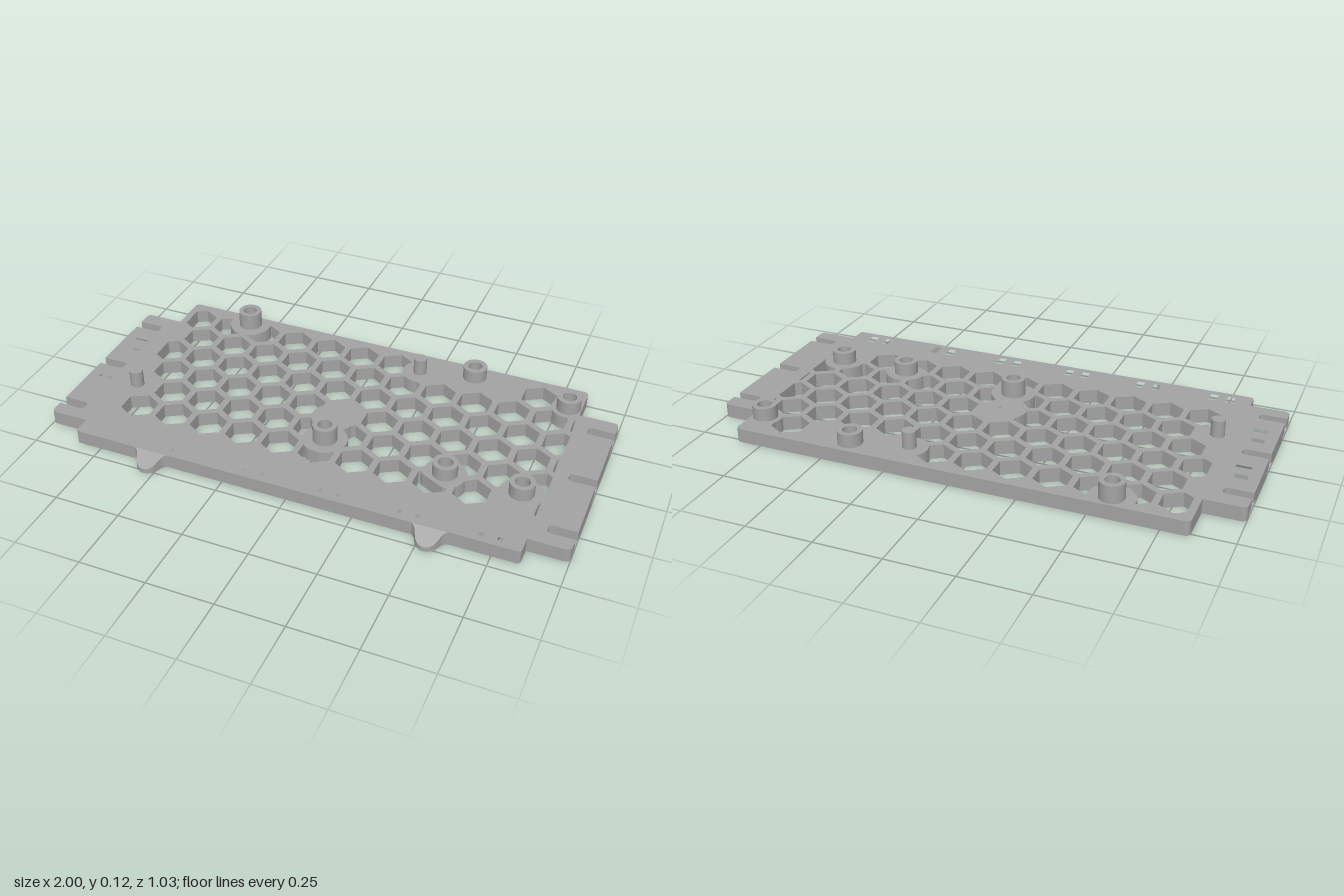
import * as THREE from 'three';

const T = 0.054, LOW = 0.015; // plate thickness, depth of the underside recesses
const grey = new THREE.MeshStandardMaterial({ color: 0xa3a3a3 });
grey.name = 'grey';

// hollow standoffs: x, z, top height, clear pad radius around them
const standoffs = [
  [-0.57, -0.46, 0.12, 0.085], [0.02, 0.14, 0.12, 0.085],
  [0.41, -0.45, 0.105, 0.085], [0.80, -0.39, 0.105, 0.065],
  [0.49, 0.16, 0.105, 0.08], [0.77, 0.16, 0.105, 0.08],
];
const pins = [[0.2, -0.4, 0.12, 0.07], [-0.79, 0.1, 0.12, 0.07]];
const centreHole = [0, 0.005, 0, 0.085];
const pads = [...standoffs, ...pins, centreHole];

// shapes are drawn in x and -z, then laid flat
function extrudeFlat(shape, y0, y1, curveSegments = 8) {
  const g = new THREE.ExtrudeGeometry(shape, { depth: y1 - y0, bevelEnabled: false, curveSegments });
  g.rotateX(-Math.PI / 2);
  g.translate(0, y0, 0);
  return g;
}

// closed path through [x, z, corner radius]
function roundedPath(path, pts) {
  const n = pts.length;
  const toward = (a, b, d) => {
    const l = Math.hypot(b[0] - a[0], b[1] - a[1]);
    return [a[0] + (b[0] - a[0]) * d / l, a[1] + (b[1] - a[1]) * d / l];
  };
  pts.forEach((p, i) => {
    const r = p[2] || 0;
    const a = toward(p, pts[(i + n - 1) % n], r), b = toward(p, pts[(i + 1) % n], r);
    if (i === 0) path.moveTo(a[0], -a[1]);
    else path.lineTo(a[0], -a[1]);
    if (r > 0) path.quadraticCurveTo(p[0], -p[1], b[0], -b[1]);
  });
  path.closePath();
  return path;
}

// plate outline with open slots in both end tabs
function outline(slotHalf, slotInner, slotRadius) {
  const right = [[0.85, -0.515, 0.02], [0.85, -0.36], [1, -0.36, 0.02]];
  for (const z of [-0.277, 0.012, 0.303]) {
    right.push([1, z - slotHalf], [slotInner, z - slotHalf, slotRadius],
      [slotInner, z + slotHalf, slotRadius], [1, z + slotHalf]);
  }
  right.push([1, 0.38, 0.02], [0.85, 0.38], [0.85, 0.45, 0.015]);
  const left = right.map(([x, z, r]) => [-x, z, r]).reverse();
  return roundedPath(new THREE.Shape(), [...right, ...left]);
}

function circleHole(x, z, r) {
  const p = new THREE.Path();
  p.absarc(x, -z, r, 0, Math.PI * 2, true);
  return p;
}

function rectHole(x, z, w, d) {
  return roundedPath(new THREE.Path(), [
    [x - w / 2, z - d / 2], [x + w / 2, z - d / 2], [x + w / 2, z + d / 2], [x - w / 2, z + d / 2]]);
}

// hexagon cut back around the pads and at the field's ends; null if too little remains
function hexHole(cx, cz) {
  const A = 0.061, R = A / Math.cos(Math.PI / 6), SEG = 8;
  const inside = (x, z, e = 0) => {
    const dx = Math.abs(x - cx), dz = Math.abs(z - cz);
    return dx <= A + e && dx * 0.5 + dz * 0.866 <= A + e;
  };
  if (pads.some(([x, z]) => inside(x, z))) return null;
  const corner = i => [cx + R * Math.sin(i * Math.PI / 3), cz + R * Math.cos(i * Math.PI / 3)];
  const pts = [];
  for (let i = 0; i < 6; i++) {
    const a = corner(i), b = corner(i + 1);
    for (let s = 0; s < SEG; s++) {
      let x = a[0] + (b[0] - a[0]) * s / SEG, z = a[1] + (b[1] - a[1]) * s / SEG;
      for (const [px, pz, , pr] of pads) {
        const d = Math.hypot(x - px, z - pz);
        if (d < pr) {
          x = px + (x - px) * pr / d;
          z = pz + (z - pz) * pr / d;
        }
      }
      if (inside(x, z, 1e-4) && x > -0.83 && x < 0.85) pts.push(new THREE.Vector2(x, -z));
    }
  }
  if (pts.length < 4 || Math.abs(THREE.ShapeUtils.area(pts)) < 0.0005) return null;
  return new THREE.Path(pts);
}

function plateHoles() {
  const holes = [];
  // honeycomb field
  for (let row = 0; row < 6; row++) {
    const odd = row % 2 === 1;
    for (let k = 0; k < 12; k++) {
      if (row === 0 && k === 9) continue; // solid beside the rear standoff
      const h = hexHole((odd ? -0.711 : -0.785) + 0.1465 * k, -0.412 + 0.1264 * row);
      if (h) holes.push(h);
    }
  }
  // tie slots along the front edge and on one end
  for (let i = 0; i < 6; i++) {
    for (const dx of [0, 0.066]) holes.push(rectHole(-0.77 + 0.2935 * i + dx, 0.393, 0.028, 0.058));
  }
  for (const z of [-0.167, -0.1, 0.11, 0.185]) holes.push(rectHole(-0.93, z, 0.056, 0.028));
  // screw holes
  for (const [x, z] of [...standoffs, centreHole]) holes.push(circleHole(x, z, 0.027));
  return holes;
}

export function createModel() {
  const group = new THREE.Group();
  const add = (name, geometry) => {
    const m = new THREE.Mesh(geometry, grey);
    m.name = name;
    group.add(m);
    return m;
  };

  // plate in two layers: wide screw head recesses below, narrow slots above
  const lower = outline(0.053, 0.865, 0.05), upper = outline(0.02, 0.9, 0.018);
  lower.holes = plateHoles();
  upper.holes = plateHoles();
  add('plateLower', extrudeFlat(lower, 0, LOW));
  add('plateUpper', extrudeFlat(upper, LOW, T));

  // hollow standoffs
  for (const [x, z, top] of standoffs) {
    const ring = new THREE.Shape();
    ring.absarc(x, -z, 0.046, 0, Math.PI * 2, false);
    ring.holes.push(circleHole(x, z, 0.027));
    add('standoff', extrudeFlat(ring, T, top, 24));
  }

  // locating pins
  for (const [x, z, top] of pins) {
    const pin = new THREE.CylinderGeometry(0.026, 0.026, top - T, 32);
    add('pin', pin).position.set(x, (top + T) / 2, z);
  }

  // sloped lugs on the front edge
  for (const x of [-0.535, 0.533]) {
    const s = new THREE.Shape();
    s.moveTo(x - 0.068, -0.449);
    s.quadraticCurveTo(x - 0.05, -0.455, x - 0.042, -0.48);
    s.bezierCurveTo(x - 0.028, -0.525, x + 0.028, -0.525, x + 0.042, -0.48);
    s.quadraticCurveTo(x + 0.05, -0.455, x + 0.068, -0.449);
    const g = extrudeFlat(s, 0, T);
    const p = g.attributes.position;
    for (let i = 0; i < p.count; i++) {
      if (p.getY(i) > 0.01) p.setY(i, T - Math.max(0, p.getZ(i) - 0.449) * 0.56);
    }
    g.computeVertexNormals();
    add('frontLug', g);
  }
  return group;
}
